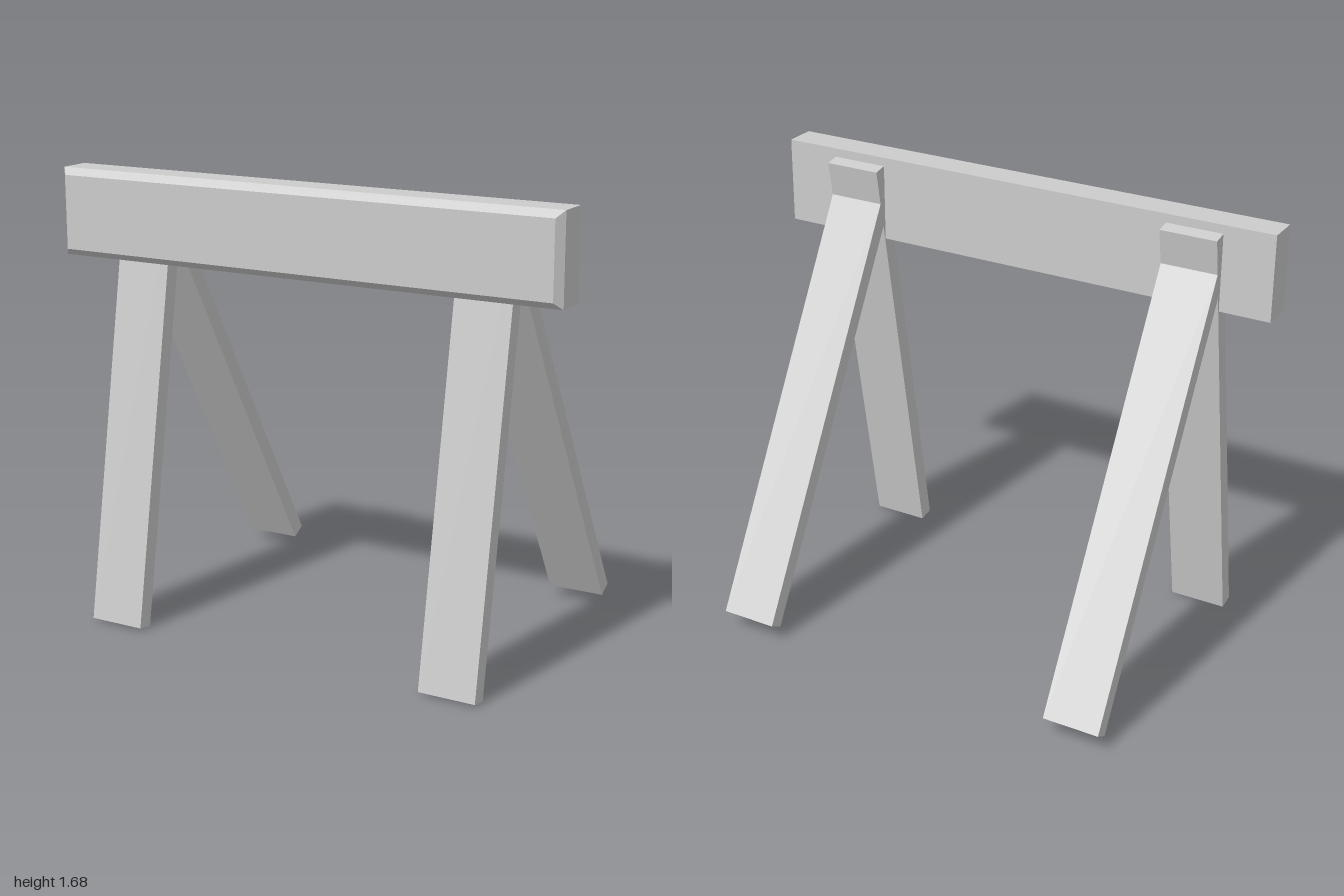
import * as THREE from 'three';

const material = new THREE.MeshStandardMaterial({ color: 0xcccccc, flatShading: true });

// Plank leaning in the z-y plane, given the mid points of its two ends
function plank(name, x, [z0, y0], [z1, y1]) {
  const length = Math.hypot(z1 - z0, y1 - y0);
  const mesh = new THREE.Mesh(new THREE.BoxGeometry(0.217, length, 0.061), material);
  mesh.name = name;
  mesh.position.set(x, (y0 + y1) / 2, (z0 + z1) / 2);
  mesh.rotation.x = Math.atan2(z1 - z0, y1 - y0);
  return mesh;
}

// Horizontal beam whose front face is chamfered on all four edges
function beam() {
  const back = 0.284, chamferStart = 0.402, front = 0.43, inset = 0.025;
  const box = new THREE.BoxGeometry(2, 0.324, 1, 1, 1, 2);
  const p = box.attributes.position;
  for (let i = 0; i < p.count; i++) {
    const z = p.getZ(i);
    if (z > 0.25) {
      p.setX(i, p.getX(i) - Math.sign(p.getX(i)) * inset);
      p.setY(i, p.getY(i) - Math.sign(p.getY(i)) * inset);
      p.setZ(i, front);
    } else {
      p.setZ(i, z < -0.25 ? back : chamferStart);
    }
  }
  const geometry = box.toNonIndexed();
  geometry.computeVertexNormals();
  const mesh = new THREE.Mesh(geometry, material);
  mesh.name = 'crossBeam';
  mesh.position.y = 1.518;
  return mesh;
}

export function createModel() {
  const group = new THREE.Group();
  group.name = 'barrier';
  group.add(beam());

  // A steep front leg and a sloping rear brace at each side
  for (const [side, x] of [['right', -0.697], ['left', 0.686]]) {
    group.add(plank(side + 'FrontLeg', x, [0.548, 0.0055], [0.261, 1.643]));
    group.add(plank(side + 'RearLeg', x, [-0.546, 0.059], [0.286, 1.499]));
  }
  return group;
}
